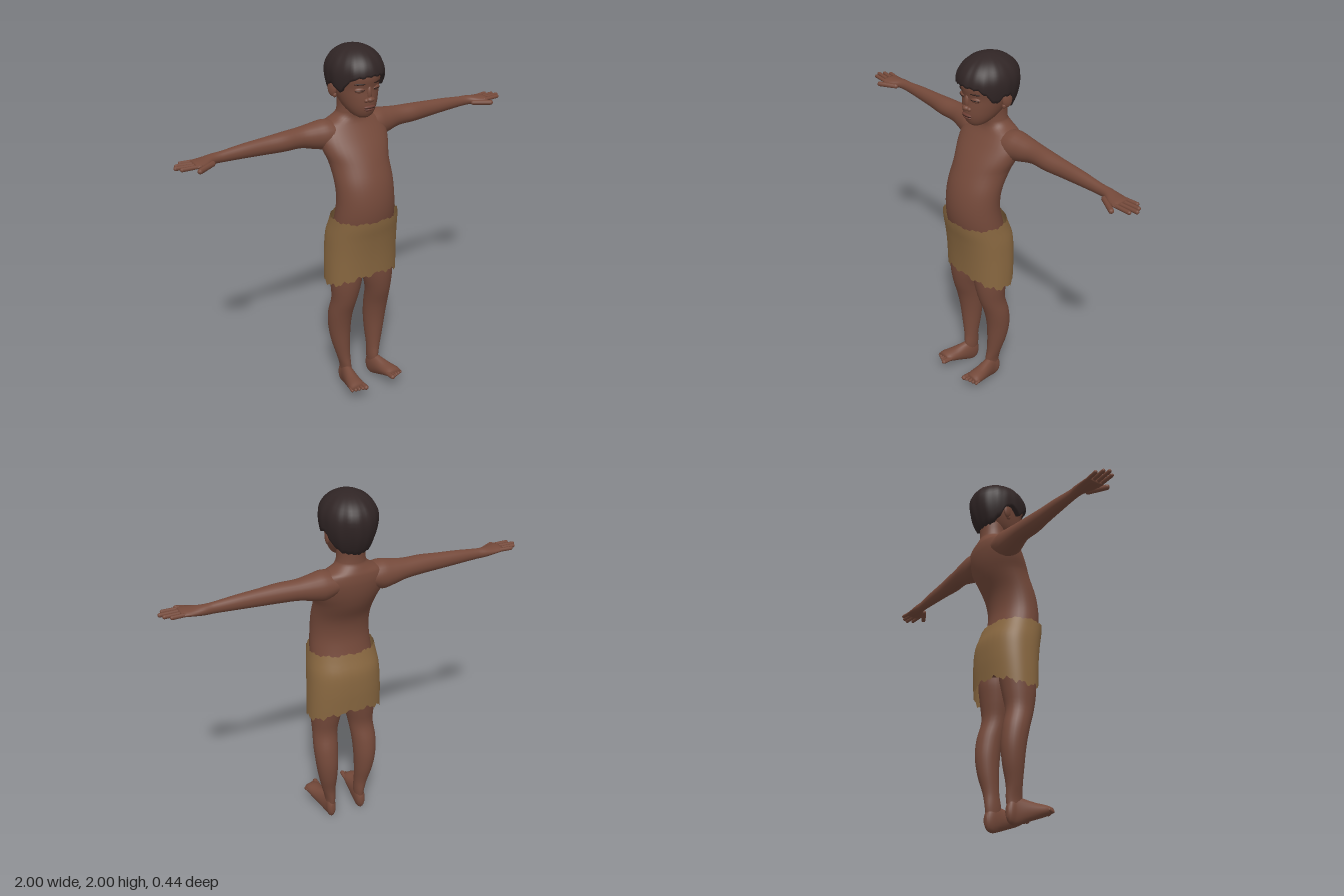
import * as THREE from 'three';

const mat = (name, color, side = THREE.FrontSide) => {
  const m = new THREE.MeshStandardMaterial({ color, side });
  m.name = name;
  return m;
};

// Closed-around surface: f(angle, t) gives a point
function surface(f, nu, nt) {
  const pos = [], idx = [];
  for (let j = 0; j <= nt; j++)
    for (let i = 0; i < nu; i++) pos.push(...f((i / nu) * Math.PI * 2, j / nt));
  for (let j = 0; j < nt; j++)
    for (let i = 0; i < nu; i++) {
      const a = j * nu + i, b = j * nu + ((i + 1) % nu);
      idx.push(a, b, b + nu, a, b + nu, a + nu);
    }
  const g = new THREE.BufferGeometry();
  g.setAttribute('position', new THREE.Float32BufferAttribute(pos, 3));
  g.setIndex(idx);
  g.computeVertexNormals();
  return g;
}

// Smooth value of a ring list [p, min1, max1, min2, max2] at position p
function sample(rings, p) {
  let i = 0;
  while (i < rings.length - 2 && p > rings[i + 1][0]) i++;
  const A = rings[i], B = rings[i + 1], h = B[0] - A[0];
  const t = Math.min(1, Math.max(0, (p - A[0]) / h));
  const slope = (k, c) => {
    const a = rings[Math.max(0, k - 1)], b = rings[Math.min(rings.length - 1, k + 1)];
    return (b[c] - a[c]) / (b[0] - a[0]);
  };
  return [1, 2, 3, 4].map((c) =>
    A[c] * (1 + 2 * t) * (1 - t) ** 2 + B[c] * t * t * (3 - 2 * t) +
    h * (slope(i, c) * t * (1 - t) ** 2 - slope(i + 1, c) * t * t * (1 - t)));
}

// Body of oval cross-sections along an axis, closed at both ends
function loft(rings, axis, nu = 28, sub = 4) {
  const n = (rings.length - 1) * sub, last = n + 2;
  return surface((a, t) => {
    const j = Math.round(t * last), k = Math.min(n, Math.max(0, j - 1));
    const i = Math.min(rings.length - 2, Math.floor(k / sub));
    const p = THREE.MathUtils.lerp(rings[i][0], rings[i + 1][0], k / sub - i);
    const [l1, h1, l2, h2] = sample(rings, p), r = j === 0 || j === last ? 0 : 0.5;
    const s = Math.sin(a) * r, c = Math.cos(a) * r;
    if (axis === 'y') return [(l1 + h1) / 2 + (h1 - l1) * s, p, (l2 + h2) / 2 + (h2 - l2) * c];
    if (axis === 'x') return [p, (l1 + h1) / 2 + (h1 - l1) * c, (l2 + h2) / 2 + (h2 - l2) * s];
    return [(l1 + h1) / 2 + (h1 - l1) * c, (l2 + h2) / 2 + (h2 - l2) * s, p];
  }, nu, last);
}

function ball(x, y, z, rx, ry, rz, yaw = 0) {
  return new THREE.SphereGeometry(1, 18, 12).scale(rx, ry, rz).rotateY(yaw).translate(x, y, z);
}

// Rounded finger or toe between two points
function digit(a, b, r) {
  const A = new THREE.Vector3(...a), B = new THREE.Vector3(...b), d = B.clone().sub(A);
  const g = new THREE.CapsuleGeometry(r, Math.max(0.001, d.length() - r), 5, 10);
  g.applyQuaternion(new THREE.Quaternion().setFromUnitVectors(new THREE.Vector3(0, 1, 0), d.normalize()));
  const m = A.add(B).multiplyScalar(0.5);
  return g.translate(m.x, m.y, m.z);
}

function mirrored(geo) {
  const g = geo.clone().scale(-1, 1, 1), ix = g.index.array;
  for (let i = 0; i < ix.length; i += 3) [ix[i], ix[i + 1]] = [ix[i + 1], ix[i]];
  g.computeVertexNormals();
  return g;
}

export function createModel() {
  const skin = mat('skin', 0x74493a);
  const hair = mat('hair', 0x302525, THREE.DoubleSide);
  const cloth = mat('cloth', 0x886740, THREE.DoubleSide);
  const dark = mat('lashes', 0x2a1a16);
  const lip = mat('lips', 0x6a3d33);
  const root = new THREE.Group();
  root.name = 'child';
  const add = (name, geo, m) => {
    const mesh = new THREE.Mesh(geo, m);
    mesh.name = name;
    root.add(mesh);
  };
  const pair = (name, geo, m) => {
    add('left' + name, geo, m);
    add('right' + name, mirrored(geo), m);
  };

  // Torso and neck
  add('torso', loft([
    [0.82, -0.16, 0.16, -0.1, 0.11], [0.95, -0.18, 0.18, -0.12, 0.14],
    [1.1, -0.172, 0.172, -0.085, 0.175], [1.2, -0.165, 0.165, -0.07, 0.18],
    [1.3, -0.165, 0.165, -0.087, 0.162], [1.4, -0.17, 0.17, -0.14, 0.12],
    [1.47, -0.192, 0.192, -0.167, 0.08], [1.54, -0.2, 0.2, -0.18, 0.03],
    [1.59, -0.17, 0.17, -0.178, -0.005], [1.62, -0.105, 0.105, -0.168, -0.015],
    [1.65, -0.077, 0.077, -0.156, -0.012], [1.74, -0.074, 0.074, -0.16, 0.0],
  ], 'y', 36), skin);

  // Arms
  pair('Arm', loft([
    [0.08, 1.49, 1.6, -0.165, -0.01], [0.16, 1.46, 1.617, -0.17, -0.015],
    [0.22, 1.47, 1.61, -0.165, -0.03], [0.3, 1.49, 1.6, -0.155, -0.048],
    [0.4, 1.495, 1.597, -0.145, -0.046], [0.5, 1.5, 1.59, -0.137, -0.058],
    [0.62, 1.507, 1.582, -0.132, -0.066], [0.74, 1.513, 1.57, -0.125, -0.074],
    [0.79, 1.515, 1.567, -0.13, -0.068], [0.84, 1.52, 1.562, -0.132, -0.04],
    [0.88, 1.525, 1.56, -0.13, -0.028], [0.9, 1.53, 1.555, -0.125, -0.03],
  ], 'x', 24), skin);
  // Fingers and thumb: base z, tip x, tip z
  [[-0.117, 0.955, -0.124], [-0.092, 0.985, -0.1], [-0.066, 1.0, -0.073], [-0.04, 0.98, -0.042]]
    .forEach(([z, tx, tz], i) =>
      pair('Finger' + (i + 1), digit([0.87, 1.543, z], [tx - 0.005, 1.545, tz], 0.0105), skin));
  pair('Thumb', digit([0.8, 1.535, -0.06], [0.9, 1.532, -0.005], 0.014), skin);

  // Legs
  pair('Leg', loft([
    [0.07, 0.07, 0.118, -0.048, 0.03], [0.13, 0.065, 0.122, -0.056, 0.038],
    [0.2, 0.065, 0.14, -0.06, 0.03], [0.3, 0.06, 0.165, -0.085, 0.031],
    [0.4, 0.055, 0.181, -0.096, 0.038], [0.5, 0.05, 0.187, -0.086, 0.058],
    [0.6, 0.04, 0.181, -0.062, 0.09], [0.7, 0.018, 0.187, -0.075, 0.11],
    [0.8, 0.004, 0.187, -0.09, 0.115], [0.95, 0.01, 0.165, -0.085, 0.1],
  ], 'y', 26), skin);

  // Feet, with the toes raised above the heel
  pair('Foot', loft([
    [-0.056, 0.083, 0.108, 0.035, 0.09], [-0.04, 0.07, 0.12, 0.008, 0.13],
    [-0.01, 0.065, 0.123, 0.0, 0.15], [0.04, 0.067, 0.138, 0.016, 0.14],
    [0.1, 0.072, 0.157, 0.039, 0.126], [0.15, 0.077, 0.17, 0.058, 0.12],
    [0.18, 0.084, 0.168, 0.072, 0.112],
  ], 'z', 22), skin);
  for (let i = 0; i < 5; i++) {
    const x = 0.09 + i * 0.0185, r = i ? 0.0095 : 0.014;
    pair('Toe' + (i + 1), digit([x, 0.09, 0.15], [x + 0.002, 0.094 - i * 0.003, 0.212 - i * 0.008], r), skin);
  }

  // Ragged wrap skirt
  const skirt = [
    [0.68, -0.212, 0.212, -0.128, 0.137], [0.8, -0.21, 0.21, -0.137, 0.143],
    [0.9, -0.206, 0.206, -0.142, 0.152], [1.0, -0.2, 0.2, -0.137, 0.167],
    [1.07, -0.19, 0.19, -0.113, 0.182], [1.13, -0.183, 0.183, -0.093, 0.189],
  ];
  const soft = (v) => Math.sign(v) * Math.abs(v) ** 0.87;
  add('skirt', surface((a, t) => {
    const low = 0.742 + 0.028 * Math.cos(2 * a) + 0.009 * Math.sin(13 * a) + 0.007 * Math.sin(29 * a + 1);
    const top = 1.106 + 0.004 * Math.sin(11 * a) + 0.004 * Math.sin(31 * a);
    const y = THREE.MathUtils.lerp(low, top, t);
    const [l1, h1, l2, h2] = sample(skirt, y);
    return [(h1 - l1) / 2 * soft(Math.sin(a)), y, (l2 + h2) / 2 + (h2 - l2) / 2 * soft(Math.cos(a))];
  }, 96, 14), cloth);

  // Head
  add('head', loft([
    [1.643, -0.03, 0.03, 0.015, 0.06], [1.66, -0.057, 0.057, -0.04, 0.079],
    [1.7, -0.085, 0.085, -0.11, 0.092], [1.75, -0.104, 0.104, -0.155, 0.093],
    [1.8, -0.116, 0.116, -0.178, 0.09], [1.86, -0.124, 0.124, -0.185, 0.1],
    [1.92, -0.112, 0.112, -0.165, 0.075], [1.96, -0.07, 0.07, -0.12, 0.03],
  ], 'y', 36), skin);
  add('noseBridge', ball(0, 1.78, 0.088, 0.014, 0.035, 0.013), skin);
  add('noseTip', ball(0, 1.747, 0.095, 0.019, 0.014, 0.017), skin);
  pair('Nostril', ball(0.018, 1.743, 0.088, 0.013, 0.011, 0.013), skin);
  add('upperLip', ball(0, 1.708, 0.09, 0.034, 0.008, 0.013), lip);
  add('lowerLip', ball(0, 1.694, 0.087, 0.029, 0.009, 0.013), lip);
  add('mouthLine', ball(0, 1.7015, 0.094, 0.03, 0.0018, 0.0075), dark);
  add('chin', ball(0, 1.665, 0.06, 0.03, 0.017, 0.02), skin);
  pair('Eyelid', ball(0.05, 1.797, 0.074, 0.027, 0.014, 0.011, 0.4), skin);
  pair('Lashes', ball(0.05, 1.797, 0.0785, 0.026, 0.0035, 0.009, 0.4), dark);
  pair('Eyebrow', ball(0.052, 1.829, 0.0805, 0.03, 0.0045, 0.005, 0.4), dark);
  pair('Ear', ball(0.121, 1.785, -0.068, 0.014, 0.042, 0.027, -0.35), skin);
  pair('EarLobe', ball(0.115, 1.752, -0.056, 0.01, 0.014, 0.013), skin);

  // Cap of hair: lower edge by angle from the front, in degrees
  const edge = [[0, 1.872], [35, 1.862], [50, 1.835], [64, 1.785], [74, 1.79], [84, 1.82],
    [100, 1.812], [115, 1.75], [135, 1.715], [180, 1.7]];
  add('hair', surface((a, t) => {
    const deg = THREE.MathUtils.radToDeg(Math.min(a, Math.PI * 2 - a));
    let i = 0;
    while (i < edge.length - 2 && deg > edge[i + 1][0]) i++;
    const [d0, y0] = edge[i], [d1, y1] = edge[i + 1];
    const low = y0 + (y1 - y0) * (deg - d0) / (d1 - d0) + 0.004 * Math.sin(23 * a);
    const k = Math.max(0, (t - 0.06) / 0.94);
    const y = low + (2 - low) * Math.sin(k * Math.PI / 2), d = y - 1.87;
    let s = d > 0 ? Math.sqrt(Math.max(0, 1 - (d / 0.13) ** 2)) : 1 - 11 * d * d;
    s *= 1 + 0.01 * Math.sin(9 * a + 14 * y) + 0.006 * Math.sin(17 * a);
    if (t < 0.01) s *= 0.84; // tucked under edge
    return [0.146 * s * Math.sin(a), y, -0.05 + 0.17 * s * Math.cos(a)];
  }, 80, 18), hair);

  return root;
}
